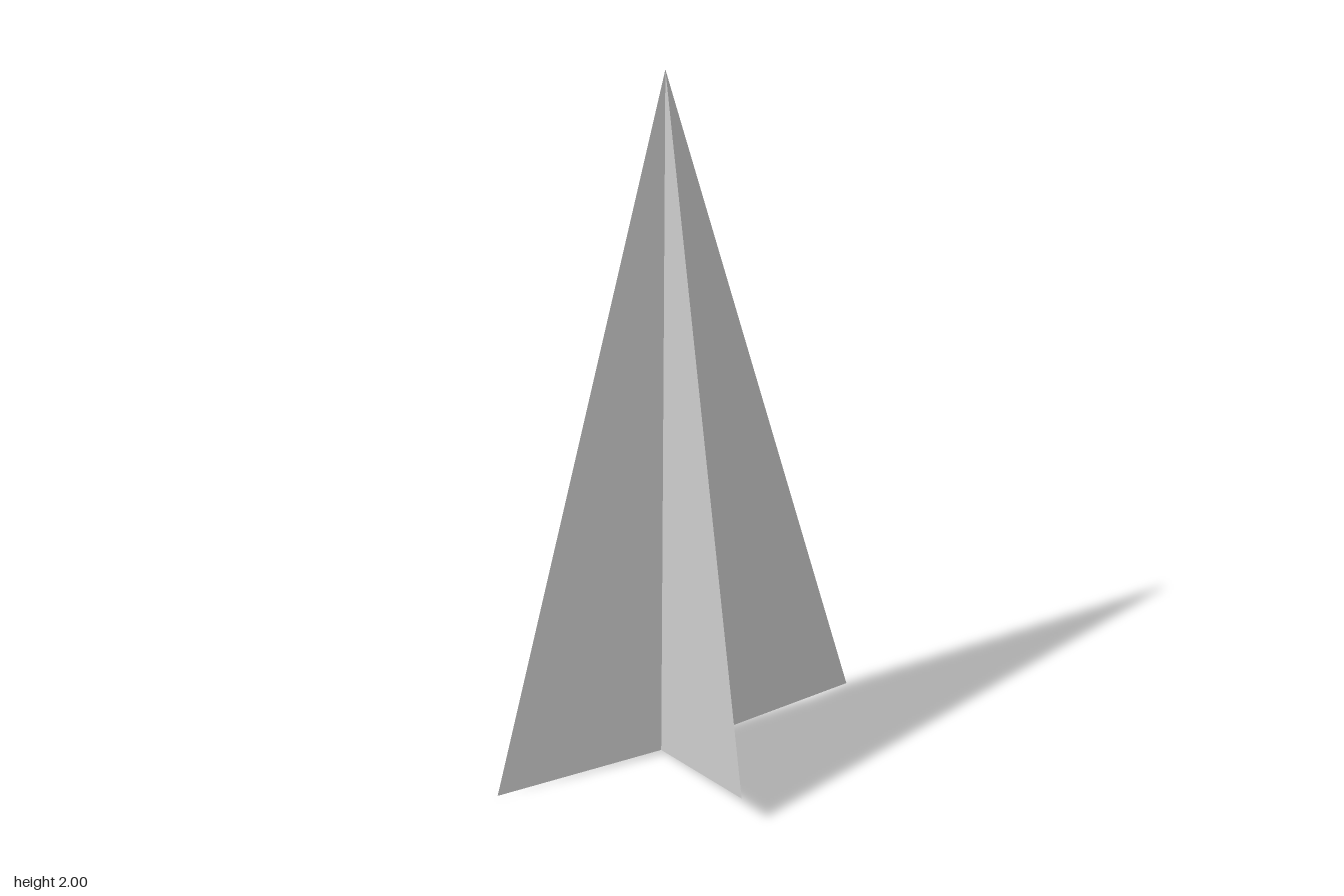
import * as THREE from 'three';

const material = new THREE.MeshStandardMaterial({
  color: 0xcccccc, flatShading: true, side: THREE.DoubleSide,
});

// Every paper panel is a triangle running from the nose to two tail corners.
const nose = [0, 2, -0.213];

function panel(name, a, b) {
  const geometry = new THREE.BufferGeometry();
  geometry.setAttribute('position', new THREE.Float32BufferAttribute([...nose, ...a, ...b], 3));
  geometry.computeVertexNormals();
  const mesh = new THREE.Mesh(geometry, material);
  mesh.name = name;
  return mesh;
}

export function createModel() {
  const model = new THREE.Group();
  model.name = 'paperPlane';

  for (const [side, s] of [['left', 1], ['right', -1]]) {
    const half = new THREE.Group();
    half.name = side + 'Half';

    // Outer sheet: wing and keel wall share the crease
    const keel = [0, 0.093, 0.213];
    const crease = [s * 0.07, 0.012, -0.142];
    const wingTip = [s * 0.545, 0, -0.181];
    half.add(panel(side + 'Wing', crease, wingTip));
    half.add(panel(side + 'KeelWall', keel, crease));

    // Inner folded layer: shorter, nearly closing the groove
    const flapKeel = [0, 0.3, 0.165];
    const flapCrease = [s * 0.021, 0.47, -0.157];
    const flapTip = [s * 0.512, 0.12, -0.183];
    half.add(panel(side + 'WingFlap', flapCrease, flapTip));
    half.add(panel(side + 'KeelFlap', flapKeel, flapCrease));

    model.add(half);
  }
  return model;
}
